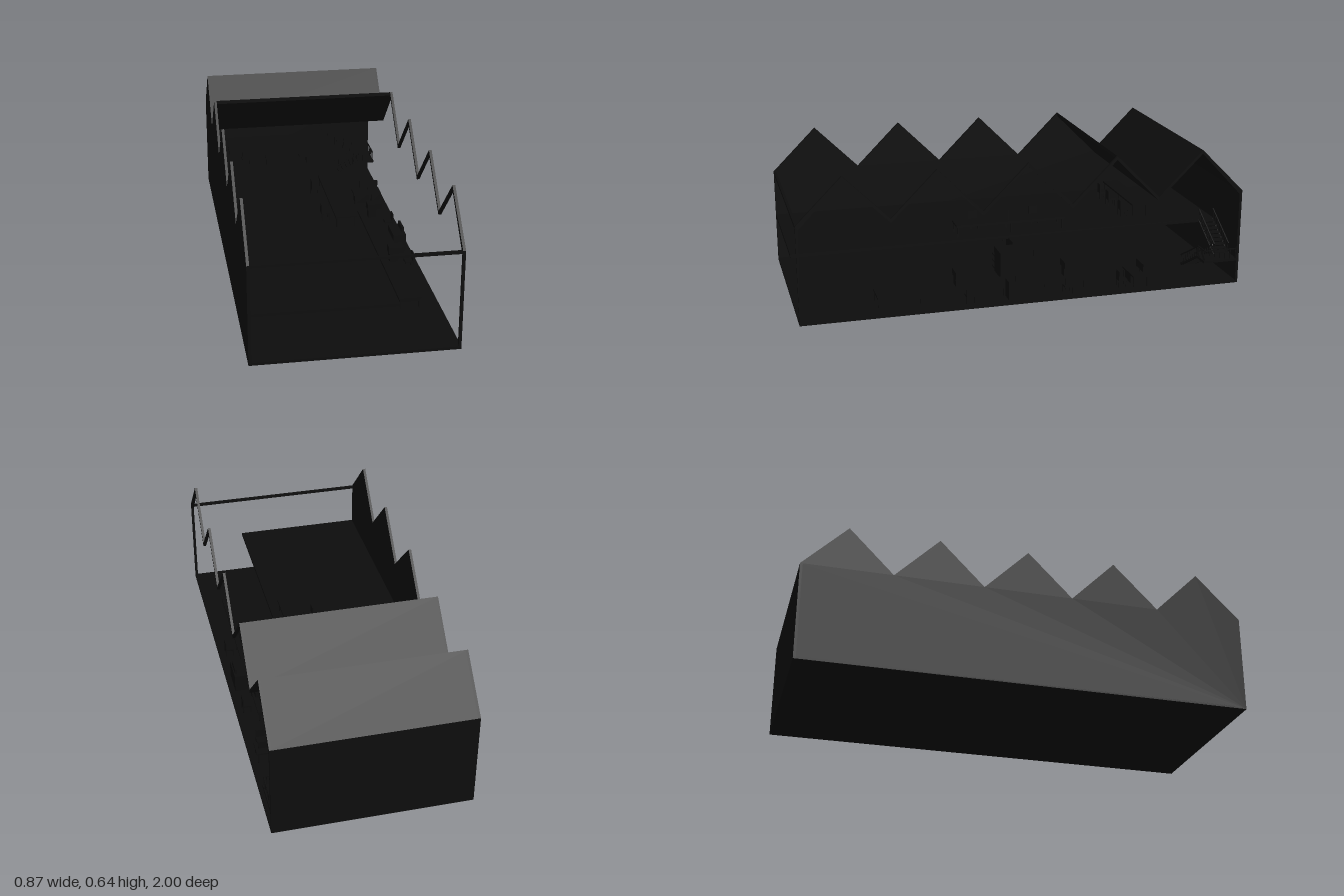
import * as THREE from 'three';

const W = 0.435; // half width of the hall
const EAVE = 0.44, RIDGE = 0.64, T = 0.012;
const mat = new THREE.MeshStandardMaterial({ color: 0x0d0d0d, side: THREE.DoubleSide });

export function createModel() {
  const model = new THREE.Group();

  const group = (name, parent = model) => {
    const g = new THREE.Group();
    g.name = name;
    parent.add(g);
    return g;
  };
  const add = (name, geo, parent = model) => {
    const m = new THREE.Mesh(geo, mat);
    m.name = name;
    parent.add(m);
    return m;
  };
  // box given by its limits on each axis
  const box = (name, x0, x1, y0, y1, z0, z1, parent) => {
    const m = add(name, new THREE.BoxGeometry(x1 - x0, y1 - y0, z1 - z0), parent);
    m.position.set((x0 + x1) / 2, (y0 + y1) / 2, (z0 + z1) / 2);
    return m;
  };
  // thin square bar between two points
  const bar = (name, a, b, t, parent) => {
    const p = new THREE.Vector3(...a), q = new THREE.Vector3(...b);
    const m = add(name, new THREE.BoxGeometry(t, t, p.distanceTo(q)), parent);
    m.position.copy(p).lerp(q, 0.5);
    m.lookAt(q);
    return m;
  };
  // profile in the z-y plane, extruded from x1 towards -x
  const profile = (name, shape, x1, depth, parent) => {
    const geo = new THREE.ExtrudeGeometry(shape, { depth, bevelEnabled: false });
    geo.rotateY(-Math.PI / 2);
    const m = add(name, geo, parent);
    m.position.x = x1;
    return m;
  };

  // zigzag roof line: valleys and ridges every 0.2
  const zigzag = (count, drop = 0) =>
    Array.from({ length: count }, (_, i) =>
      new THREE.Vector2(-1 + i * 0.2, (i % 2 ? RIDGE : EAVE) - drop));
  const inset = zigzag(11, T * 1.4);
  inset[0].x += T;
  inset[10].x -= T;

  // shell
  box('floor', -W, W, 0, T, -1, 1);
  box('backWall', -W, W, 0, EAVE, -1, -1 + T);
  const gable = [new THREE.Vector2(-1, 0), ...zigzag(11), new THREE.Vector2(1, 0)];
  profile('sideWall', new THREE.Shape(gable), -W + T, T);

  // open side: only the outline of the gable wall
  const frame = new THREE.Shape(gable);
  frame.holes.push(new THREE.Path([
    new THREE.Vector2(-1 + T, T), ...inset, new THREE.Vector2(1 - T, T)]));
  profile('openSideFrame', frame, W, T);
  box('frontBeam', -W, W, EAVE - T, EAVE, 1 - T, 1);

  // roof over the rear bays
  profile('rearRoof', new THREE.Shape([...zigzag(4), ...zigzag(4, T * 1.4).reverse()]), W, 2 * W);

  // upper floor
  const DECK = 0.23;
  box('upperFloor', -W + T, 0.175, DECK - 0.014, DECK, -1 + T, 1);

  // two flights with a landing between them
  const stairs = group('stairs');
  const LAND = 0.118, STEPS = 9;
  box('landing', 0.35, W, LAND - 0.012, LAND, -0.99, -0.83, stairs);
  const flight = (name, y0, y1, xa, xb, z0, z1) => {
    const g = group(name, stairs);
    for (let i = 0; i < STEPS; i++) {
      const t = (i + 0.5) / STEPS;
      const x = THREE.MathUtils.lerp(xa, xb, t), y = THREE.MathUtils.lerp(y0, y1, t);
      box('step', x - 0.012, x + 0.012, y - 0.005, y + 0.002, z0, z1, g);
      for (const z of [z0, z1]) bar('baluster', [x, y, z], [x, y + 0.045, z], 0.003, g);
    }
    for (const z of [z0, z1]) {
      bar('stringer', [xa, y0 - 0.005, z], [xb, y1 - 0.005, z], 0.009, g);
      bar('handrail', [xa, y0 + 0.045, z], [xb, y1 + 0.045, z], 0.005, g);
    }
  };
  flight('lowerFlight', T, LAND, 0.165, 0.355, -0.905, -0.835);
  flight('upperFlight', DECK, LAND, 0.17, 0.355, -0.985, -0.915);
  const rail = [[0.355, -0.835], [0.43, -0.835], [0.43, -0.985]];
  for (let i = 0; i < 2; i++) {
    const [a, b] = [rail[i], rail[i + 1]];
    bar('landingRail', [a[0], LAND + 0.045, a[1]], [b[0], LAND + 0.045, b[1]], 0.005, stairs);
    for (let k = 0; k <= 6; k++) {
      const x = a[0] + (b[0] - a[0]) * k / 6, z = a[1] + (b[1] - a[1]) * k / 6;
      bar('landingBaluster', [x, LAND, z], [x, LAND + 0.045, z], 0.003, stairs);
    }
  }

  // furniture helpers
  const table = (name, x0, x1, z0, z1, base, top, pairs = 2, alongZ = true) => {
    const g = group(name);
    box('tableTop', x0, x1, top - 0.008, top, z0, z1, g);
    for (let i = 0; i < pairs; i++) {
      const t = pairs > 1 ? i / (pairs - 1) : 0.5;
      for (const s of [0, 1]) {
        const x = THREE.MathUtils.lerp(x0 + 0.008, x1 - 0.008, alongZ ? s : t);
        const z = THREE.MathUtils.lerp(z0 + 0.008, z1 - 0.008, alongZ ? t : s);
        bar('tableLeg', [x, base, z], [x, top - 0.004, z], 0.006, g);
      }
    }
    return g;
  };
  const chair = (x, z, base, turn) => {
    const g = group('chair');
    box('seat', -0.02, 0.02, 0.03, 0.037, -0.02, 0.02, g);
    box('backrest', 0.015, 0.02, 0.037, 0.075, -0.02, 0.02, g);
    for (const sx of [-1, 1]) for (const sz of [-1, 1])
      bar('chairLeg', [sx * 0.017, 0, sz * 0.017], [sx * 0.017, 0.032, sz * 0.017], 0.005, g);
    g.position.set(x, base, z);
    g.rotation.y = turn;
  };

  // upper floor furniture
  table('longDeskUpstairs', 0.045, 0.14, -0.26, 0.25, DECK, 0.285, 3);
  for (const z of [-0.15, 0.14]) chair(0.015, z, DECK, Math.PI);
  table('rearDeskUpstairs', -0.35, 0.065, -0.7, -0.62, DECK, 0.293, 3, false);
  for (const x of [-0.27, -0.15, 0.02]) chair(x, -0.59, DECK, -Math.PI / 2);
  bar('lamp', [0.11, 0.285, 0], [0.11, 0.33, 0], 0.004);

  // work line on the ground floor
  const line = table('workLine', 0.25, 0.35, -0.3, 0.655, T, 0.067, 6);
  box('lineSkirt', 0.255, 0.345, 0.045, 0.06, -0.295, 0.65, line);
  for (const z of [-0.22, 0.28]) {
    const g = group('workStation');
    box('column', 0.285, 0.325, 0.067, 0.11, z - 0.02, z + 0.02, g);
    box('head', 0.28, 0.35, 0.11, 0.14, z - 0.025, z + 0.025, g);
  }
  for (const z of [-0.2, 0.25]) chair(0.385, z, T, 0);
  box('controlCabinet', 0.35, 0.41, T, 0.095, -0.05, 0.08);
  box('cabinetScreen', 0.395, 0.405, 0.095, 0.12, -0.03, 0.05);

  // machine cabinet with shelves beside it
  box('machine', 0.045, 0.155, 0.02, 0.14, -0.1, 0.05);
  for (const y of [0.03, 0.06, 0.09]) box('shelf', 0.005, 0.045, y, y + 0.006, -0.1, 0.05);
  box('storageCabinet', -0.11, 0.0, T, 0.135, -0.15, -0.05);

  // rear desk and side bench
  table('rearDesk', 0.27, 0.41, -0.58, -0.5, T, 0.067, 2);
  box('deskDrawers', 0.28, 0.35, T, 0.065, -0.57, -0.51);
  box('deskScreen', 0.31, 0.4, 0.08, 0.115, -0.56, -0.55);
  bar('screenStand', [0.355, 0.067, -0.555], [0.355, 0.085, -0.555], 0.008);
  chair(0.37, -0.46, T, -Math.PI / 2);
  table('sideBench', -0.39, -0.11, -0.2, -0.1, T, 0.067, 3, false);
  box('benchVice', -0.21, -0.155, 0.067, 0.09, -0.17, -0.13);

  return model;
}
